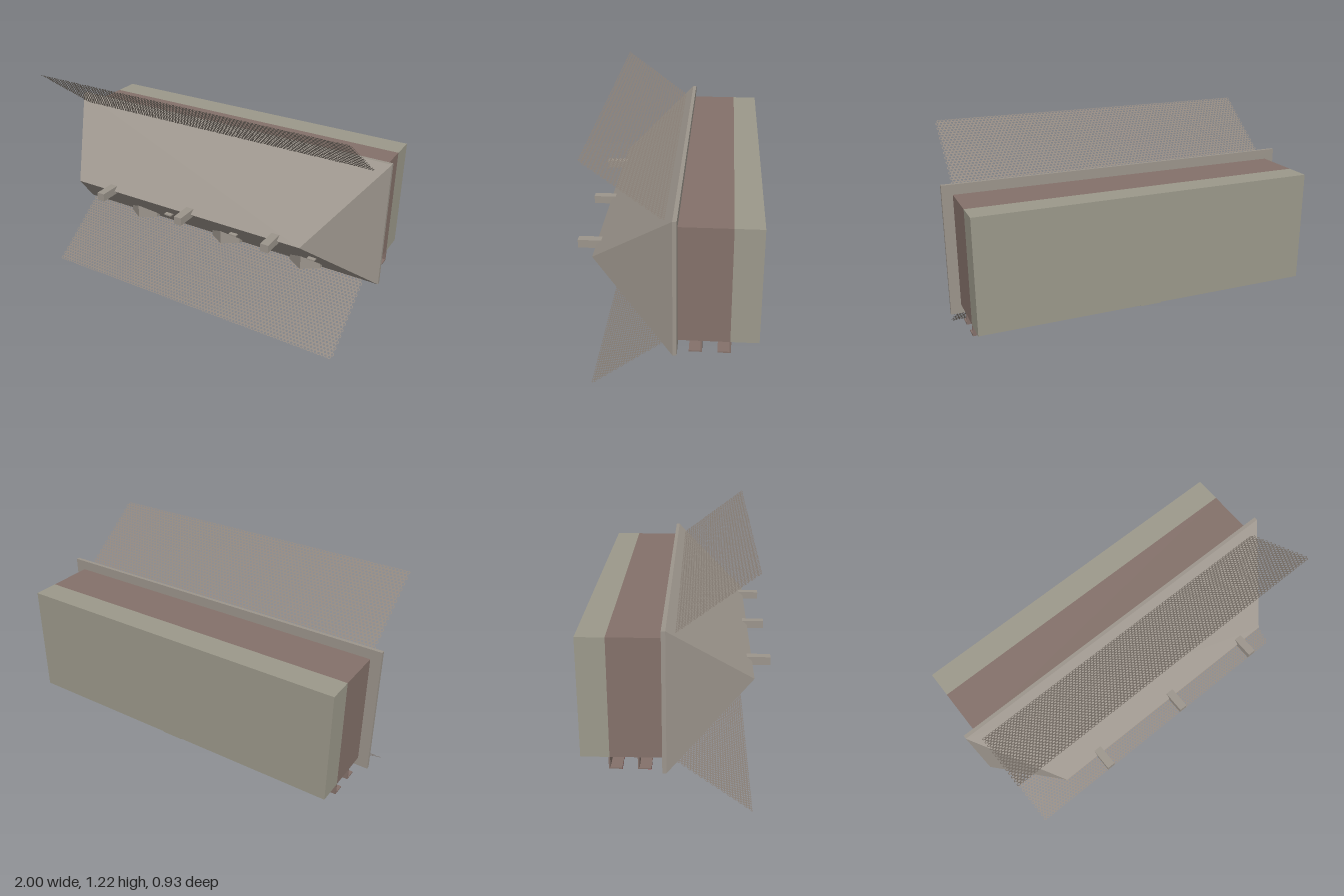
import * as THREE from 'three';
import { mergeGeometries } from 'three/addons/utils/BufferGeometryUtils.js';

const mat = (color, extra = {}) => new THREE.MeshStandardMaterial({ color, ...extra });
const OLIVE = mat(0x9c998b), BROWN = mat(0x84716a), STEEL = mat(0x9c958c);
const RED = mat(0xa35a5c), SCREEN = mat(0x8f857c, { side: THREE.DoubleSide });

export function createModel() {
  const model = new THREE.Group();

  const add = (name, geometry, material, parent = model) => {
    const mesh = new THREE.Mesh(geometry, material);
    mesh.name = name;
    parent.add(mesh);
    return mesh;
  };
  // Box given by its limits on each axis
  const box = (name, [x0, x1], [y0, y1], [z0, z1], material, parent) => {
    const mesh = add(name, new THREE.BoxGeometry(x1 - x0, y1 - y0, z1 - z0), material, parent);
    mesh.position.set((x0 + x1) / 2, (y0 + y1) / 2, (z0 + z1) / 2);
    return mesh;
  };

  // Housing in two sections, and the wider flange in front of it
  const W = 0.943;
  box('rearHousing', [-W, W], [0.305, 0.921], [-0.465, -0.325], OLIVE);
  box('middleHousing', [-W, W], [0.305, 0.921], [-0.325, -0.07], BROWN);
  box('flange', [-1, 1], [0.255, 0.976], [-0.07, -0.05], STEEL);

  // Hipped hood: four corners on the flange running to a horizontal ridge
  const A = [-1, 0.255, -0.05], B = [1, 0.255, -0.05], C = [1, 0.976, -0.05], D = [-1, 0.976, -0.05];
  const L = [-0.71, 0.615, 0.37], R = [0.71, 0.615, 0.37];
  const faces = [A, B, R, A, R, L, D, L, R, D, R, C, A, L, D, B, C, R];
  const hood = new THREE.BufferGeometry();
  hood.setAttribute('position', new THREE.Float32BufferAttribute(faces.flat(), 3));
  hood.computeVertexNormals();
  add('hood', hood, STEEL);

  // Square pegs along the ridge
  for (const x of [-0.477, 0.043, 0.563])
    box('ridgePeg', [x - 0.022, x + 0.022], [0.594, 0.638], [0.3, 0.465], STEEL);

  // Pointed brackets under the lower slope
  const plan = new THREE.Shape([[-0.0925, -0.01], [0.0925, -0.01], [0.0925, -0.045], [0, -0.105], [-0.0925, -0.045]]
    .map(([x, y]) => new THREE.Vector2(x, y)));
  const bracket = new THREE.ExtrudeGeometry(plan, { depth: 0.082, bevelEnabled: false });
  bracket.rotateX(-Math.PI / 2);
  for (const x of [-0.497, 0.093, 0.603]) add('pointedBracket', bracket, STEEL).position.set(x, 0.306, 0);

  // Thin tabs on the lower slope
  for (const x of [-0.645, -0.192, 0.241, 0.714])
    box('slopeTab', [x - 0.022, x + 0.022], [0.465, 0.473], [0.17, 0.228], STEEL);

  // Perforated screens of staggered hexagonal cells
  const cell = 0.02, radius = cell / Math.sqrt(3), rows = 27, columns = 93;
  const ring = new THREE.RingGeometry(radius * 0.6, radius, 6, 1, Math.PI / 6);
  const cells = [];
  for (let r = 0; r < rows; r++)
    for (let c = 0; c < columns; c++)
      cells.push(ring.clone().translate(
        (c - (columns - 1) / 2 + (r % 2 ? 0.25 : -0.25)) * cell, radius + r * radius * 1.5, 0));
  const mesh = mergeGeometries(cells);
  const tilt = Math.atan2(0.38, 0.285);
  const upper = add('upperScreen', mesh, SCREEN);
  upper.position.set(-0.003, 0.94, -0.01);
  upper.rotation.x = tilt;
  const lower = add('lowerScreen', mesh, SCREEN);
  lower.position.set(-0.003, 0.285, -0.01);
  lower.rotation.x = Math.PI - tilt;

  // Two hooked rails below the housing, with red pads under their lips
  for (const z of [-0.19, -0.33]) {
    const rail = new THREE.Group();
    rail.name = 'hookedRail';
    model.add(rail);
    box('railWeb', [-W, W], [0.24, 0.305], [z, z + 0.008], BROWN, rail);
    box('railLip', [-W, W], [0.24, 0.247], [z, z + 0.065], BROWN, rail);
    for (let i = 0; i < 22; i++) {
      const x = -W + 0.0857 * (i + 0.5);
      box('redPad', [x - 0.033, x + 0.033], [0.232, 0.24], [z + 0.047, z + 0.065], RED, rail);
    }
  }

  // Flat plates on the underside, the central one reaching the back edge
  for (let i = -4; i <= 4; i++) {
    const x = i * 0.21, w = i ? 0.025 : 0.06;
    box('undersidePlate', [x - w, x + w], [0.3, 0.306], [i ? -0.42 : -0.464, i ? -0.375 : -0.335], OLIVE);
    box('undersidePlate', [x - w, x + w], [0.3, 0.306], [-0.3, -0.23], BROWN);
    box('undersidePlate', [x - w, x + w], [0.3, 0.306], [-0.16, -0.085], BROWN);
  }
  return model;
}
